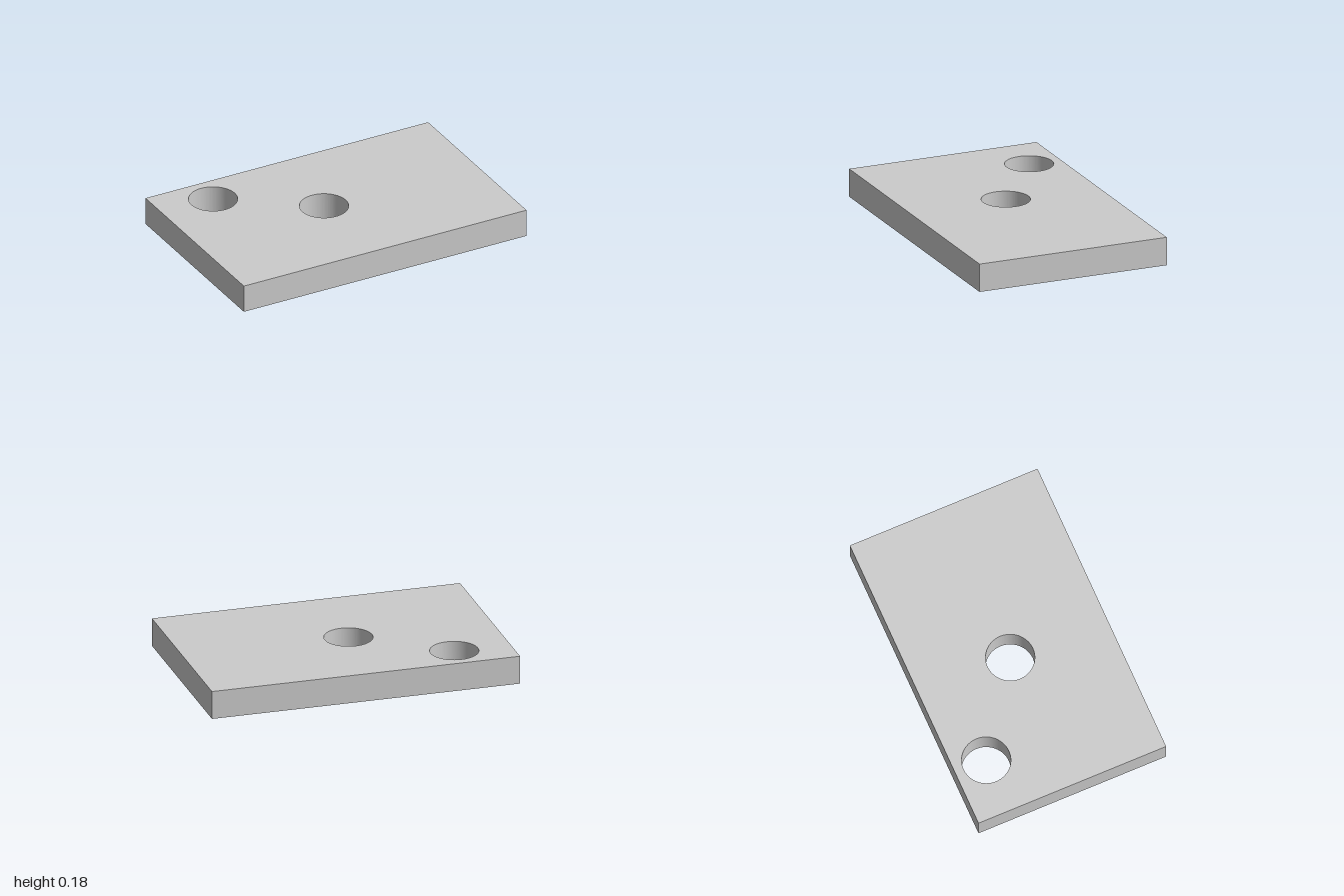
import * as THREE from 'three';
import { toCreasedNormals } from 'three/addons/utils/BufferGeometryUtils.js';

const WIDTH = 2, DEPTH = 1.27, HEIGHT = 0.183, HOLE_RADIUS = 0.153;
// hole centres as [x, z]
const HOLES = [[-0.637, -0.425], [-0.075, -0.018]];

export function createModel() {
  const group = new THREE.Group();
  group.name = 'drilledPlate';

  // rectangular outline, drawn with shape y = -z
  const w = WIDTH / 2, d = DEPTH / 2;
  const outline = new THREE.Shape([
    new THREE.Vector2(-w, -d), new THREE.Vector2(w, -d),
    new THREE.Vector2(w, d), new THREE.Vector2(-w, d),
  ]);

  // round through holes
  for (const [x, z] of HOLES) {
    outline.holes.push(new THREE.Path().absarc(x, -z, HOLE_RADIUS, 0, Math.PI * 2, true));
  }

  // plate laid flat on the ground, hole walls smooth and rims sharp
  const geometry = new THREE.ExtrudeGeometry(outline, {
    depth: HEIGHT, bevelEnabled: false, curveSegments: 64,
  });
  geometry.rotateX(-Math.PI / 2);
  const plate = new THREE.Mesh(
    toCreasedNormals(geometry, Math.PI / 6),
    new THREE.MeshStandardMaterial({ color: 0xcccccc }),
  );
  plate.name = 'plate';
  group.add(plate);
  return group;
}
